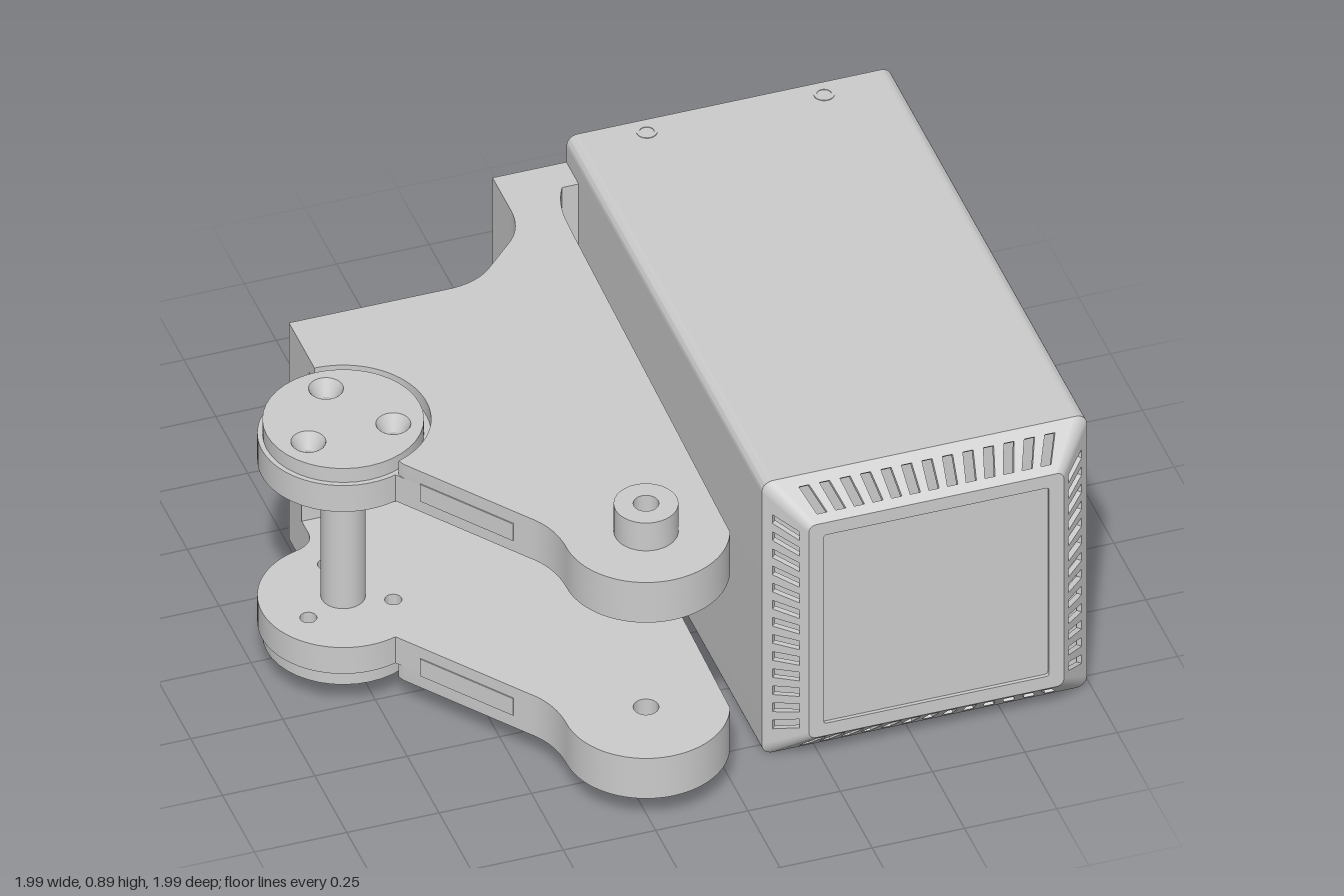
import * as THREE from 'three';
import { toCreasedNormals } from 'three/addons/utils/BufferGeometryUtils.js';

const MID = 0.445; // mirror height of the bracket
const MX = 0.55;   // motor axis
const mat = new THREE.MeshStandardMaterial({ color: 0xcccccc });
const thin = new THREE.MeshStandardMaterial({ color: 0xcccccc, side: THREE.DoubleSide });

function add(parent, name, geo, material = mat) {
  const m = new THREE.Mesh(geo, material);
  m.name = name;
  parent.add(m);
  return m;
}

function extrude(shape, depth) {
  const g = new THREE.ExtrudeGeometry(shape, { depth, bevelEnabled: false, curveSegments: 20 });
  return toCreasedNormals(g, 0.6);
}

// Plan shapes use (x, -z); the slab stands between two heights.
function slab(shape, ya, yb) {
  const y0 = Math.min(ya, yb), y1 = Math.max(ya, yb);
  return extrude(shape, y1 - y0).rotateX(-Math.PI / 2).translate(0, y0, 0);
}

// Shape in the x-y plane extruded from z0 to z1.
const along = (shape, z0, z1) => extrude(shape, z1 - z0).translate(0, 0, z0);

function circle(x, y, r, Type = THREE.Path) {
  const p = new Type();
  p.absarc(x, y, r, 0, Math.PI * 2, false);
  return p;
}

function roundedSquare(cx, cy, h, r, Type = THREE.Shape) {
  const p = new Type(), a = h - r;
  p.absarc(cx + a, cy + a, r, 0, Math.PI / 2, false);
  p.absarc(cx - a, cy + a, r, Math.PI / 2, Math.PI, false);
  p.absarc(cx - a, cy - a, r, Math.PI, Math.PI * 1.5, false);
  p.absarc(cx + a, cy - a, r, Math.PI * 1.5, Math.PI * 2, false);
  p.closePath();
  return p;
}

const HUB = [-0.78, -0.085], PIVOT = [-0.2, -0.78];
const SCREWS = [[-0.78, 0.05], [-0.895, -0.145], [-0.665, -0.145]];

// Inner face of the rear wall, from the bracket's motor side outward.
function innerWall(s) {
  s.lineTo(0.028, 0.45);
  s.quadraticCurveTo(0.02, 0.41, -0.01, 0.38);
  s.lineTo(-0.1, 0.29);
  s.quadraticCurveTo(-0.16, 0.24, -0.35, 0.24);
}

// Bracket arm outline, either with the hub lug or cut clear of the hub disc.
function armShape(withLug) {
  const s = new THREE.Shape();
  s.moveTo(-0.78, 0.24);
  if (withLug) {
    s.lineTo(-0.78, 0.19);
    s.quadraticCurveTo(-0.78, 0.14, -0.84, 0.127);
    s.absarc(...HUB, 0.22, 1.85, Math.PI * 2 - 1.25, false);
  } else {
    s.lineTo(-0.78, 0.14);
    s.absarc(...HUB, 0.225, Math.PI / 2, -1.22, true);
  }
  s.lineTo(-0.695, -0.315);
  s.lineTo(-0.465, -0.63);
  s.quadraticCurveTo(-0.415, -0.69, -0.415, -0.78);
  s.absarc(...PIVOT, 0.215, Math.PI, Math.PI * 2 - 0.35, false);
  innerWall(s);
  s.closePath();
  s.holes.push(circle(...PIVOT, 0.033));
  if (withLug) for (const [x, y] of SCREWS) s.holes.push(circle(x, y, 0.022));
  return s;
}

function buildBracket() {
  const g = new THREE.Group();
  g.name = 'bracket';

  // Curved wall and flange reaching into the motor housing
  const wall = new THREE.Shape();
  wall.moveTo(-0.35, 0.24);
  wall.lineTo(-0.35, 0.34);
  wall.quadraticCurveTo(-0.27, 0.34, -0.22, 0.39);
  wall.lineTo(-0.14, 0.47);
  wall.quadraticCurveTo(-0.09, 0.52, -0.09, 0.6);
  wall.lineTo(-0.09, 0.742);
  wall.lineTo(0.137, 0.742);
  wall.lineTo(0.137, 0.645);
  wall.lineTo(0.065, 0.645);
  wall.quadraticCurveTo(0.03, 0.58, 0.03, 0.5);
  innerWall(wall);
  add(g, 'curvedWall', slab(wall, MID - 0.35, MID + 0.35));

  // Straight rear wall with two screw holes
  const rear = new THREE.Shape();
  rear.moveTo(-0.78, MID - 0.35);
  rear.lineTo(-0.35, MID - 0.35);
  rear.lineTo(-0.35, MID + 0.35);
  rear.lineTo(-0.78, MID + 0.35);
  rear.closePath();
  for (const s of [1, -1]) rear.holes.push(circle(-0.615, MID + s * 0.195, 0.028));
  add(g, 'rearWall', along(rear, -0.34, -0.24));

  // Mirrored upper and lower arms
  const disc = circle(...HUB, 0.207, THREE.Shape);
  for (const [x, y] of SCREWS) disc.holes.push(circle(x, y, 0.045));
  const boss = circle(...PIVOT, 0.083, THREE.Shape);
  boss.holes.push(circle(...PIVOT, 0.033));
  for (const s of [1, -1]) {
    const y = (a) => MID + s * a;
    add(g, 'armInnerLayer', slab(armShape(true), y(0.22), y(0.305)));
    add(g, 'armOuterLayer', slab(armShape(false), y(0.305), y(0.35)));
    add(g, 'hubDisc', slab(disc, y(0.305), y(0.35)));
    add(g, 'pivotBoss', slab(boss, y(0.35), y(0.44)));
    for (const [x, pz] of SCREWS) {
      const cone = new THREE.CylinderGeometry(s > 0 ? 0.045 : 0.022, s > 0 ? 0.022 : 0.045, 0.045, 20, 1, true);
      add(g, 'countersink', cone.translate(x, y(0.3275), -pz), thin);
    }
    const label = add(g, 'sidePad', new THREE.BoxGeometry(0.29, 0.055, 0.006));
    label.position.set(-0.579, y(0.283), 0.474);
    label.rotation.y = -Math.atan2(0.315, 0.23);
  }

  // Hinge pin with collar
  add(g, 'hingePin', new THREE.CylinderGeometry(0.058, 0.058, 0.45, 28).translate(-0.78, MID, 0.085));
  add(g, 'pinCollar', new THREE.CylinderGeometry(0.085, 0.085, 0.035, 28).translate(-0.78, 0.648, 0.085));
  return g;
}

function buildVentCap() {
  const cap = new THREE.Group();
  cap.name = 'ventCap';
  cap.position.set(MX, 0.44, 0);
  // Four sloping louvred sides with rounded corners
  const slope = Math.hypot(0.095, 0.095);
  const side = new THREE.Shape([[-0.41, 0], [0.41, 0], [0.325, slope], [-0.325, slope]].map((p) => new THREE.Vector2(...p)));
  for (let i = -6; i <= 6; i++) {
    const lo = i * 0.0555, hi = i * 0.0505, w = 0.014;
    side.holes.push(new THREE.Path([[lo - w, 0.03], [hi - w, 0.108], [hi + w, 0.108], [lo + w, 0.03]].map((p) => new THREE.Vector2(...p))));
  }
  for (let k = 0; k < 4; k++) {
    const q = new THREE.Group();
    q.name = 'ventSide';
    q.rotation.z = k * Math.PI / 2;
    const panel = add(q, 'louvrePanel', along(side, -0.015, 0));
    panel.position.set(0, -0.44, 0.79);
    panel.rotation.x = Math.PI / 4;
    const corner = new THREE.CylinderGeometry(0.02, 0.03, 0.095, 6, 1, true, 0, Math.PI / 2).rotateX(Math.PI / 2);
    const p = corner.attributes.position;
    for (let i = 0; i < p.count; i++) {
      const c = 0.3675 - 0.0425 * p.getZ(i) / 0.0475;
      p.setXY(i, p.getX(i) + c, p.getY(i) - c);
    }
    corner.computeVertexNormals();
    add(q, 'capCorner', corner.translate(0, 0, 0.8375), thin);
    cap.add(q);
  }
  // Front face with recessed panel
  const frame = roundedSquare(0, 0, 0.345, 0.02);
  frame.holes.push(roundedSquare(0, 0, 0.305, 0.008, THREE.Path));
  add(cap, 'frontFrame', along(frame, 0.87, 0.885));
  add(cap, 'frontPanel', along(roundedSquare(0, 0, 0.307, 0.008), 0.865, 0.875));
  return cap;
}

function buildMotor() {
  const g = new THREE.Group();
  g.name = 'motor';
  add(g, 'housing', along(roundedSquare(MX, 0.44, 0.44, 0.03), -0.69, 0.79));

  // Rear rim around the mounting plate
  const rim = roundedSquare(MX, 0.44, 0.44, 0.03);
  rim.holes.push(roundedSquare(MX, 0.44, 0.415, 0.02, THREE.Path));
  add(g, 'rearRim', along(rim, -0.74, -0.69));

  // Mounting plate with round recess and eight screw holes
  const plate = roundedSquare(MX, 0.44, 0.408, 0.02);
  plate.holes.push(circle(MX, 0.44, 0.3));
  for (let i = -1; i <= 1; i++) for (let j = -1; j <= 1; j++) {
    if (i || j) plate.holes.push(circle(MX + i * 0.35, 0.44 + j * 0.35, 0.024));
  }
  add(g, 'mountingPlate', along(plate, -0.736, -0.69));
  add(g, 'motorFace', new THREE.CylinderGeometry(0.285, 0.285, 0.03, 40).rotateX(Math.PI / 2).translate(MX, 0.44, -0.695));
  add(g, 'shaft', new THREE.CylinderGeometry(0.078, 0.078, 0.31, 28).rotateX(Math.PI / 2).translate(MX, MID, -0.845));

  // Screw rings on top and underside
  const ring = circle(0, 0, 0.027, THREE.Shape);
  ring.holes.push(circle(0, 0, 0.019));
  for (const x of [0.31, 0.79]) for (const y of [-0.001, 0.877]) {
    add(g, 'screwRing', slab(ring, y, y + 0.005).translate(x, 0, -0.69));
  }
  g.add(buildVentCap());
  return g;
}

export function createModel() {
  const model = new THREE.Group();
  model.name = 'motorWithBracket';
  model.add(buildBracket(), buildMotor());
  return model;
}
